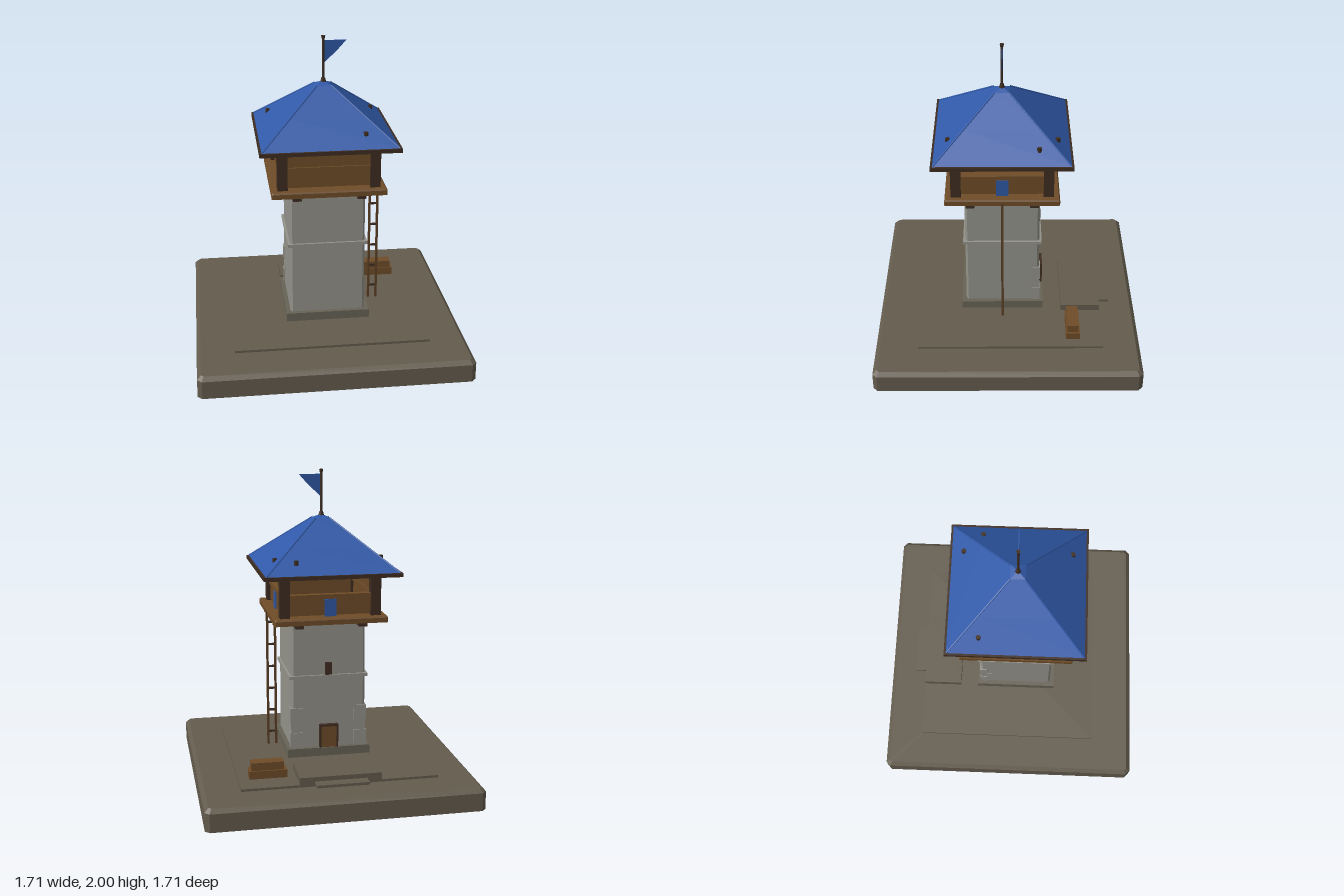
import * as THREE from 'three';

const mat = (name, color, side = THREE.FrontSide) => {
  const m = new THREE.MeshStandardMaterial({ color, side });
  m.name = name;
  return m;
};

// Stack of square sections [y, half width, corner cut], capped at both ends
function loft(sections) {
  const ring = ([y, h, c]) => [[h, h - c], [h - c, h], [c - h, h], [-h, h - c], [-h, c - h], [c - h, -h], [h - c, -h], [h, c - h]]
    .map(([x, z]) => [x, y, z]);
  const rings = sections.map(ring);
  const pos = [];
  const tri = (a, b, c) => pos.push(...a, ...b, ...c);
  for (let s = 0; s < rings.length - 1; s++) {
    for (let i = 0; i < 8; i++) {
      const j = (i + 1) % 8;
      const a = rings[s][i], b = rings[s][j], c = rings[s + 1][j], d = rings[s + 1][i];
      tri(a, c, b);
      tri(a, d, c);
    }
  }
  const low = rings[0], high = rings[rings.length - 1];
  for (let i = 1; i < 7; i++) {
    tri(low[0], low[i], low[i + 1]);
    tri(high[0], high[i + 1], high[i]);
  }
  const g = new THREE.BufferGeometry();
  g.setAttribute('position', new THREE.Float32BufferAttribute(pos, 3));
  g.computeVertexNormals();
  return g;
}

export function createModel() {
  const model = new THREE.Group();
  model.name = 'watchtower';
  const earth = mat('earth', 0x635b4d);
  const footingStone = mat('footing stone', 0x676356);
  const stone = mat('wall stone', 0x93928a);
  const darkWood = mat('dark timber', 0x3d2c20);
  const wood = mat('plank wood', 0x6e4c27);
  const ladderWood = mat('ladder wood', 0x5c3f25);
  const blue = mat('roof blue', 0x3059a8);
  const cloth = mat('cloth blue', 0x2f58a5, THREE.DoubleSide);

  const add = (parent, name, geometry, material, x = 0, y = 0, z = 0) => {
    const m = new THREE.Mesh(geometry, material);
    m.name = name;
    m.position.set(x, y, z);
    parent.add(m);
    return m;
  };
  // Box given by its limits on each axis
  const box = (parent, name, material, x0, x1, y0, y1, z0, z1) =>
    add(parent, name, new THREE.BoxGeometry(x1 - x0, y1 - y0, z1 - z0), material,
      (x0 + x1) / 2, (y0 + y1) / 2, (z0 + z1) / 2);

  // Ground slab, yard and back steps
  add(model, 'base', loft([[0, 0.853, 0.028], [0.115, 0.853, 0.028], [0.14, 0.828, 0.016]]), earth);
  box(model, 'yard', earth, -0.615, 0.615, 0.135, 0.155, -0.614, 0.58);
  box(model, 'backStep', earth, -0.255, 0.255, 0.15, 0.2, -0.614, -0.355);
  box(model, 'lowStep', earth, -0.163, 0.163, 0.155, 0.172, -0.684, -0.61);

  // Stacked crates
  box(model, 'lowerCrate', wood, 0.31, 0.545, 0.155, 0.205, -0.468, -0.378);
  box(model, 'upperCrate', wood, 0.33, 0.53, 0.205, 0.255, -0.458, -0.385);

  // Everything in the tower is centred on its own axis
  const tower = new THREE.Group();
  tower.name = 'tower';
  tower.position.z = 0.034;
  model.add(tower);

  // Stone shaft
  box(tower, 'footing', footingStone, -0.268, 0.268, 0.19, 0.245, -0.268, 0.268);
  add(tower, 'shaft', loft([[0.245, 0.24, 0.014], [1.05, 0.238, 0.014]]), stone);
  box(tower, 'stringCourse', stone, -0.253, 0.253, 0.703, 0.724, -0.253, 0.253);
  for (const s of [-1, 1]) {
    for (const [y0, y1, w, d] of [[0.245, 0.345, 0.08, 0.05], [0.345, 0.415, 0.05, 0.08], [0.415, 0.51, 0.08, 0.05]]) {
      const out = y0 === 0.345 ? 0.242 : 0.247;
      add(tower, 'cornerStone', new THREE.BoxGeometry(w, y1 - y0, d), stone,
        s * (out - w / 2), (y0 + y1) / 2, d / 2 - out);
    }
  }
  box(tower, 'door', wood, -0.052, 0.052, 0.245, 0.385, -0.263, -0.235);
  for (const s of [-1, 1]) add(tower, 'doorJamb', new THREE.BoxGeometry(0.01, 0.15, 0.03), darkWood, s * 0.055, 0.32, -0.252);
  box(tower, 'doorLintel', darkWood, -0.06, 0.06, 0.385, 0.397, -0.267, -0.235);
  box(tower, 'windowSlit', darkWood, -0.021, 0.021, 0.724, 0.805, -0.25, -0.235);

  // Deck on crossing joists
  for (const s of [-0.2, 0.2]) {
    box(tower, 'joist', darkWood, -0.345, 0.345, 1.05, 1.08, s - 0.027, s + 0.027);
    box(tower, 'joist', darkWood, s - 0.027, s + 0.027, 1.052, 1.08, -0.345, 0.345);
  }
  add(tower, 'deck', loft([[1.075, 0.357, 0.006], [1.105, 0.357, 0.006], [1.115, 0.35, 0.004]]), wood);

  // Corner posts
  for (const x of [-1, 1]) for (const z of [-1, 1]) {
    add(tower, 'post', new THREE.BoxGeometry(0.063, 0.27, 0.063), darkWood, x * 0.287, 1.245, z * 0.287);
  }

  // Guard walls: tall at the front and right, low at the back and left
  const sides = [[0, 1.365, false], [Math.PI / 2, 1.235, true], [Math.PI, 1.235, true], [-Math.PI / 2, 1.365, false]];
  for (const [angle, top, banner] of sides) {
    const side = new THREE.Group();
    side.name = 'guardWall';
    side.rotation.y = angle;
    tower.add(side);
    box(side, 'planks', wood, -0.257, 0.257, 1.124, top, 0.27, 0.295);
    box(side, 'rail', wood, -0.257, 0.257, 1.23, 1.256, 0.262, 0.305);
    if (banner) box(side, 'banner', cloth, -0.038, 0.038, 1.117, 1.226, 0.298, 0.306);
  }

  // Roof with eaves, two slopes, cap and hip strips
  box(tower, 'eaves', darkWood, -0.43, 0.43, 1.372, 1.396, -0.43, 0.43);
  add(tower, 'roof', loft([[1.396, 0.417, 0], [1.545, 0.232, 0], [1.695, 0.046, 0], [1.712, 0.012, 0]]), blue);
  for (const x of [-1, 1]) for (const z of [-1, 1]) {
    const a = new THREE.Vector3(x * 0.414, 1.397, z * 0.414), b = new THREE.Vector3(x * 0.046, 1.695, z * 0.046);
    add(tower, 'hipStrip', new THREE.TubeGeometry(new THREE.LineCurve3(a, b), 1, 0.006, 6), blue);
  }
  // Pegs sticking out of the slopes
  for (const [x, z] of [[0.22, -0.339], [-0.335, -0.224], [0.335, -0.224], [0.22, 0.331]]) {
    add(tower, 'roofPeg', new THREE.CylinderGeometry(0.015, 0.015, 0.03, 6), darkWood, x, 1.464, z);
  }

  // Flagpole and pennant
  add(tower, 'pole', new THREE.CylinderGeometry(0.008, 0.008, 0.28, 8), darkWood, 0, 1.85, 0);
  add(tower, 'poleCollar', new THREE.CylinderGeometry(0.012, 0.018, 0.026, 8), darkWood, 0, 1.722, 0);
  add(tower, 'finial', new THREE.CylinderGeometry(0.013, 0.01, 0.018, 8), darkWood, 0, 1.991, 0);
  const flag = new THREE.Shape([[0.005, 1.97], [0.005, 1.83], [0.085, 1.905], [0.143, 1.97]].map(([x, y]) => new THREE.Vector2(x, y)));
  add(tower, 'pennant', new THREE.ExtrudeGeometry(flag, { depth: 0.006, bevelEnabled: false }), cloth, 0, 0, -0.003);

  // Ladder
  for (const [x, top] of [[0.305, 1.06], [0.356, 1.095]]) {
    box(tower, 'ladderRail', ladderWood, x - 0.007, x + 0.007, 0.2, top, -0.008, 0.008);
  }
  for (let i = 0; i < 6; i++) {
    const y = 0.287 + i * 0.148;
    box(tower, 'rung', darkWood, 0.305, 0.356, y - 0.006, y + 0.006, -0.006, 0.006);
  }
  return model;
}
